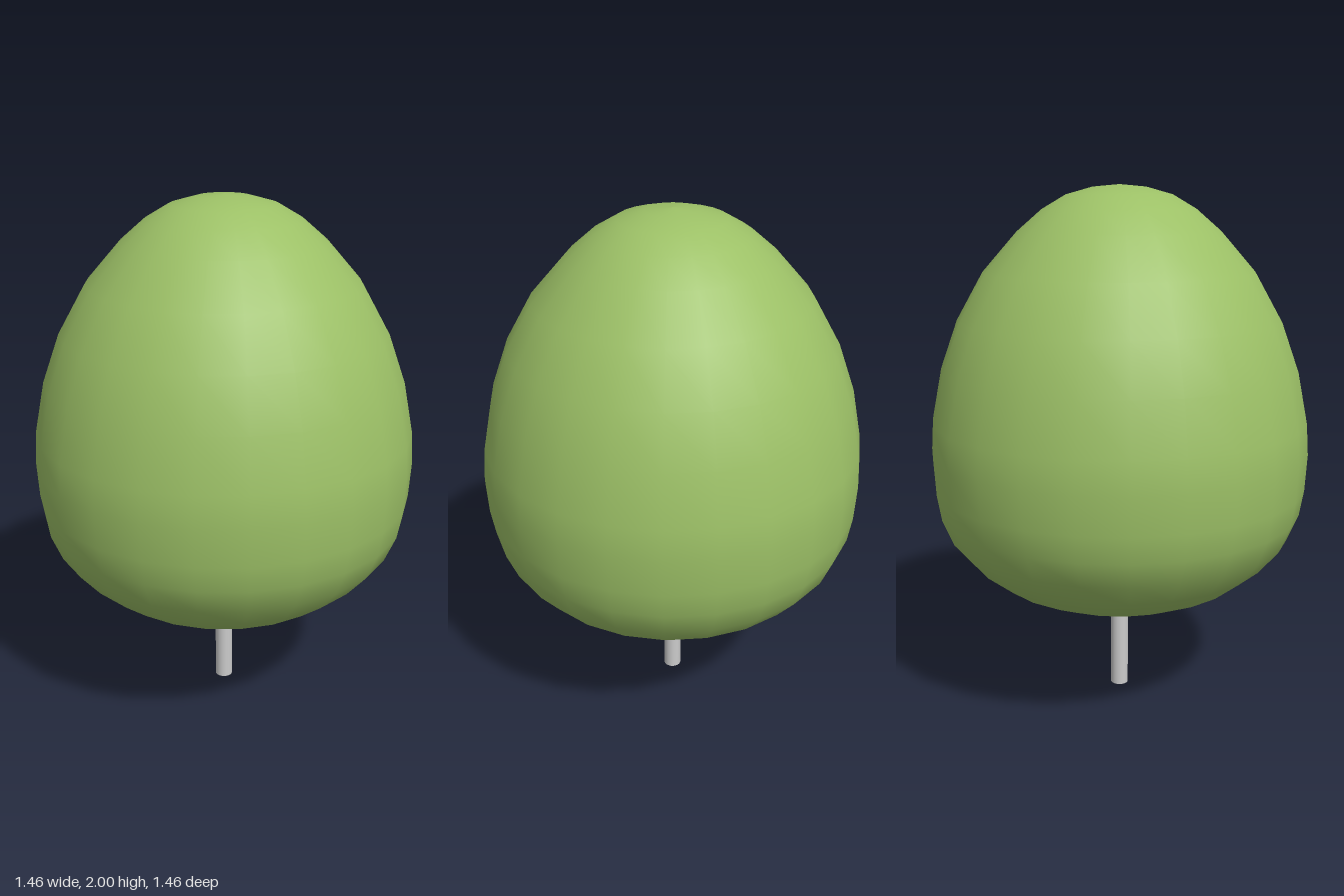
import * as THREE from 'three';

const SIDES = 24;

export function createModel() {
  const tree = new THREE.Group();
  tree.name = 'tree';

  // Crown: an egg with a flattened, full underside, as [radius, height]
  const profile = [
    [0, 0.378], [0.22, 0.397], [0.366, 0.435], [0.48, 0.487], [0.584, 0.568],
    [0.663, 0.66], [0.705, 0.76], [0.722, 0.86], [0.73, 1.0], [0.722, 1.12],
    [0.683, 1.316], [0.617, 1.5], [0.515, 1.68], [0.385, 1.828], [0.29, 1.91],
    [0.2, 1.963], [0.1, 1.991], [0, 2],
  ].map(([r, y]) => new THREE.Vector2(r, y));
  const crown = new THREE.Mesh(
    new THREE.LatheGeometry(profile, SIDES),
    new THREE.MeshStandardMaterial({ color: 0x9cc066 })
  );
  crown.name = 'crown';
  tree.add(crown);

  // Trunk: a thin straight post running a little way into the crown
  const height = 0.45;
  const trunk = new THREE.Mesh(
    new THREE.CylinderGeometry(0.035, 0.035, height, 16),
    new THREE.MeshStandardMaterial({ color: 0xcccccc })
  );
  trunk.name = 'trunk';
  trunk.position.y = height / 2;
  tree.add(trunk);

  return tree;
}
